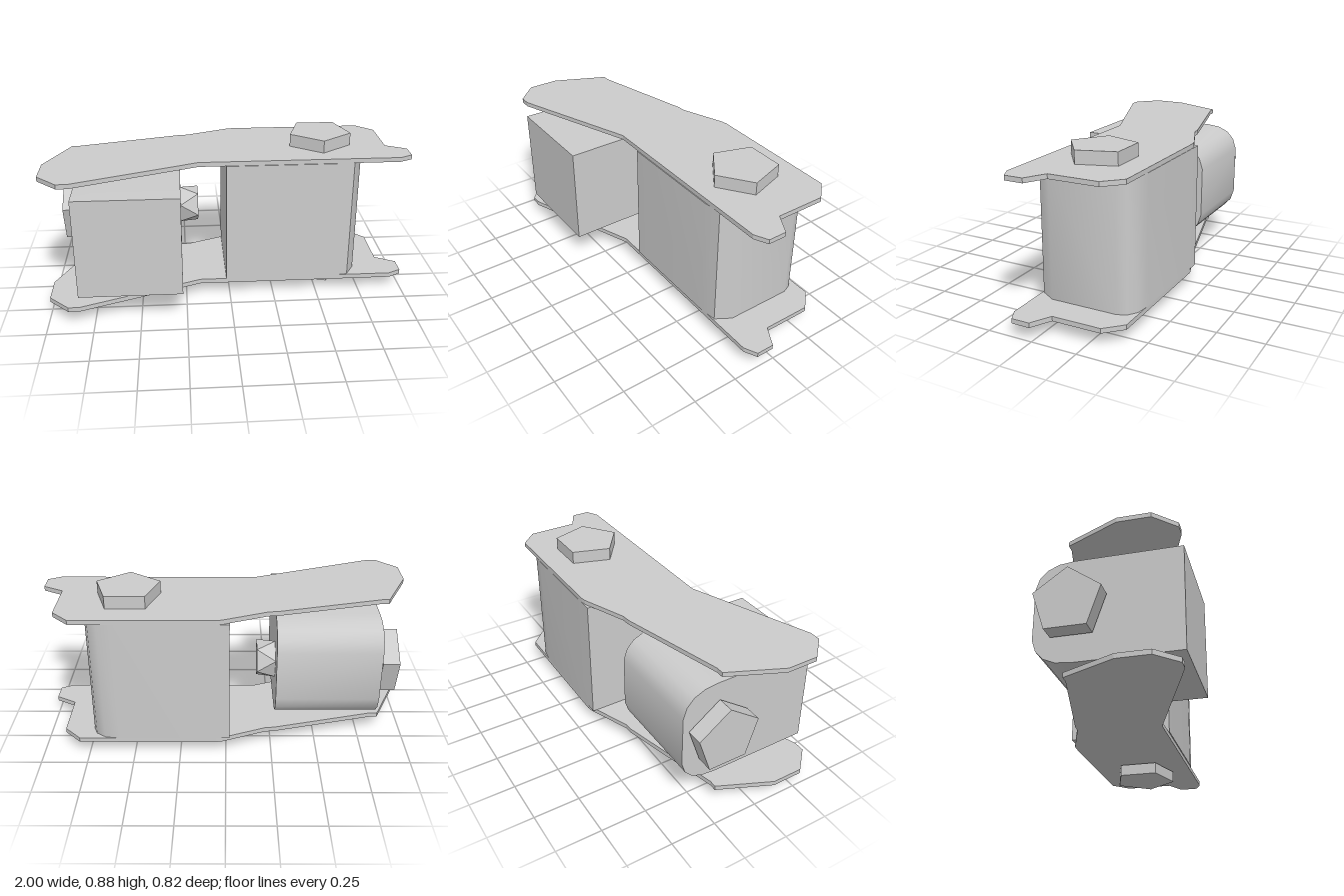
import * as THREE from 'three';
import { toCreasedNormals } from 'three/addons/utils/BufferGeometryUtils.js';
import { ConvexGeometry } from 'three/addons/geometries/ConvexGeometry.js';

const grey = new THREE.MeshStandardMaterial({ color: 0xcccccc });
const flatGrey = new THREE.MeshStandardMaterial({ color: 0xcccccc, flatShading: true });

function extrude(shape, depth) {
  return new THREE.ExtrudeGeometry(shape, { depth, bevelEnabled: false, curveSegments: 4 });
}

// Extrude an outline of [x, z] points between two heights
function slab(points, y0, y1) {
  const shape = new THREE.Shape(points.map(([x, z]) => new THREE.Vector2(x, z)));
  return extrude(shape, y1 - y0).rotateX(Math.PI / 2).translate(0, y1, 0);
}

export function createModel() {
  const group = new THREE.Group();
  const add = (name, geometry, material = flatGrey) => {
    const mesh = new THREE.Mesh(geometry, material);
    mesh.name = name;
    group.add(mesh);
    return mesh;
  };

  // Matching top and bottom side plates
  const plate = [
    [-0.87, -0.16], [-0.83, -0.16], [-0.27, -0.305], [-0.22, -0.31], [0.02, -0.405],
    [0.05, -0.41], [0.80, -0.41], [0.89, -0.32], [0.89, -0.05], [1, 0.01], [1, 0.11],
    [0.93, 0.145], [-0.17, 0.145], [-0.26, 0.18], [-0.83, 0.40], [-0.89, 0.40],
    [-1, 0.29], [-1, 0.12],
  ];
  add('bottomPlate', slab(plate, 0.072, 0.098));
  add('topPlate', slab(plate, 0.79, 0.815));

  // Main body between the plates, rounded on its outer end
  const body = [
    [-0.02, -0.412], [0.58, -0.412], [0.66, -0.4], [0.71, -0.365], [0.73, -0.315],
    [0.73, 0.055], [0.68, 0.137], [0.58, 0.15], [-0.02, 0.15],
  ];
  add('body', toCreasedNormals(slab(body, 0.098, 0.79), 0.6), grey);

  // Block with a square front and rounded back edges (outline in -z, y)
  const front = -0.41, back = 0.34, low = 0.165, high = 0.725, rz = 0.2, ry = 0.14;
  const side = new THREE.Shape();
  side.moveTo(front, low);
  side.lineTo(back - rz, low);
  side.quadraticCurveTo(back - 0.02, low, back, low + ry);
  side.lineTo(back, high - ry);
  side.quadraticCurveTo(back - 0.02, high, back - rz, high);
  side.lineTo(front, high);
  const block = extrude(side, 0.56).rotateY(Math.PI / 2).translate(-0.83, 0, 0);
  add('block', toCreasedNormals(block, 0.6), grey);

  // Five-sided bolt heads with their short shafts
  const bolt = (r, h, turn = 0) => new THREE.CylinderGeometry(r, r, h, 5, 1, false, turn);
  add('topBolt', bolt(0.18, 0.071)).position.set(0.523, 0.8495, -0.13);
  add('bottomBolt', bolt(0.18, 0.063, Math.PI / 2)).position.set(0.525, 0.0315, -0.13);
  add('bottomShaft', bolt(0.1, 0.03, Math.PI / 2)).position.set(0.525, 0.07, -0.125);
  add('endBolt', bolt(0.18, 0.09, Math.PI / 2).rotateZ(Math.PI / 2)).position.set(-0.885, 0.45, -0.14);
  add('endShaft', bolt(0.065, 0.04, Math.PI / 2).rotateZ(Math.PI / 2)).position.set(-0.835, 0.45, -0.14);

  // Faceted shaft tip: two pentagon rings turned half a step apart
  const rings = [];
  for (let i = 0; i < 10; i++) {
    const a = Math.PI / 2 + i * Math.PI / 5;
    const x = i % 2 ? -0.17 : -0.272;
    rings.push(new THREE.Vector3(x, 0.45 + 0.105 * Math.sin(a), -0.14 + 0.105 * Math.cos(a)));
  }
  add('shaftTip', new ConvexGeometry(rings));

  return group;
}
